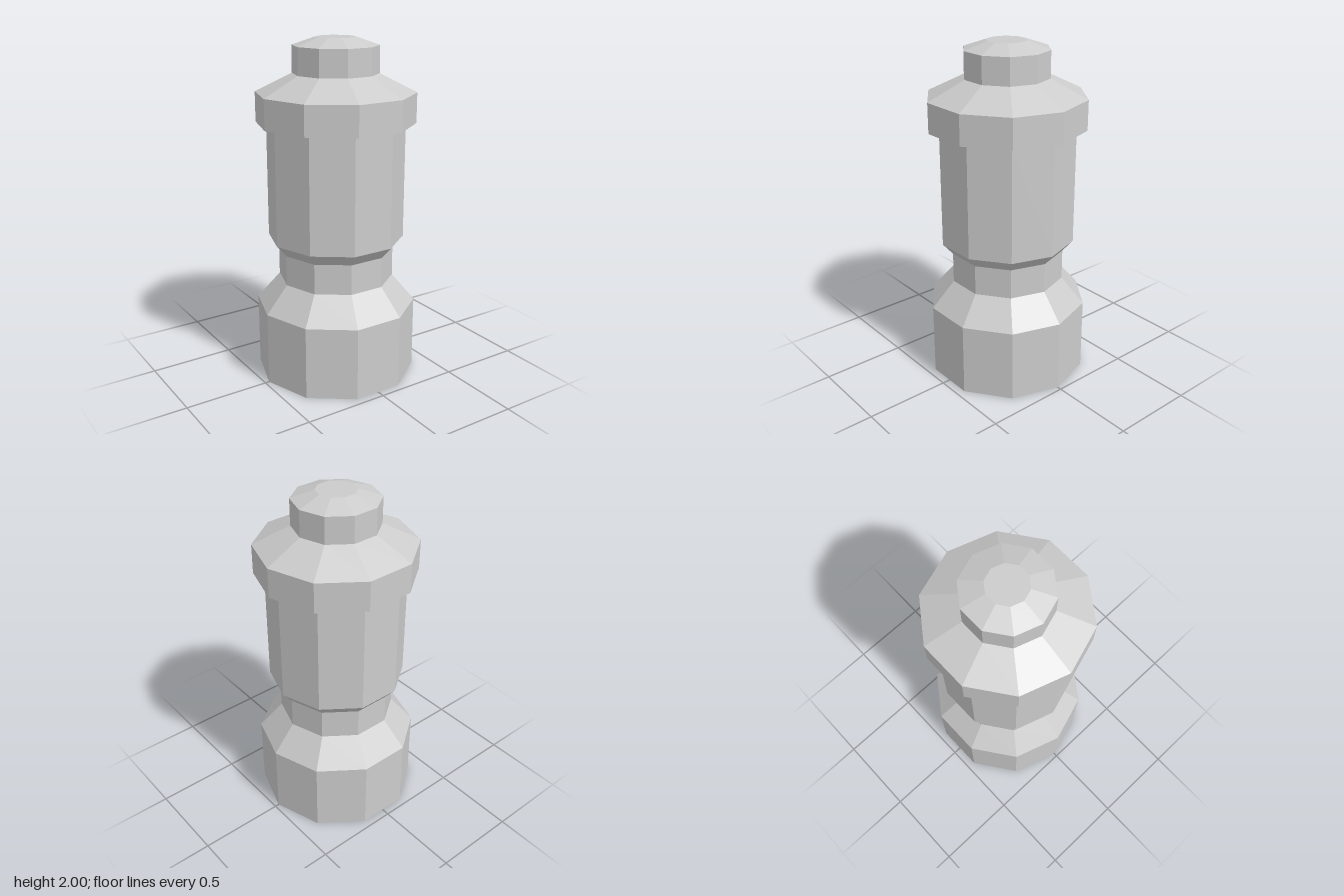
import * as THREE from 'three';

const SIDES = 10;

export function createModel() {
  const group = new THREE.Group();
  const material = new THREE.MeshStandardMaterial({ color: 0xcccccc, flatShading: true });

  // Turned section with flat facets and corners on the x axis; profile runs bottom to top as [radius, y]
  function turned(name, profile) {
    const points = profile.map(([r, y]) => new THREE.Vector2(r, y));
    const geometry = new THREE.LatheGeometry(points, SIDES, Math.PI / 2).toNonIndexed();
    geometry.computeVertexNormals();
    const mesh = new THREE.Mesh(geometry, material);
    mesh.name = name;
    group.add(mesh);
  }

  // Heavy foot with a sloped top
  turned('base', [[0, 0], [0.475, 0], [0.475, 0.435], [0.34, 0.592]]);
  // Narrow waist
  turned('neck', [[0.34, 0.592], [0.34, 0.772]]);
  // Main barrel, flaring out from the neck
  turned('body', [[0.34, 0.772], [0.4, 0.842], [0.4, 1.52]]);
  // Overhanging rim and sloped shoulder
  turned('collar', [[0.4, 1.52], [0.46, 1.52], [0.46, 1.694], [0.247, 1.8]]);
  // Small knob with a bevelled, flat top
  turned('cap', [[0.247, 1.8], [0.247, 1.955], [0.115, 2], [0, 2]]);

  return group;
}
